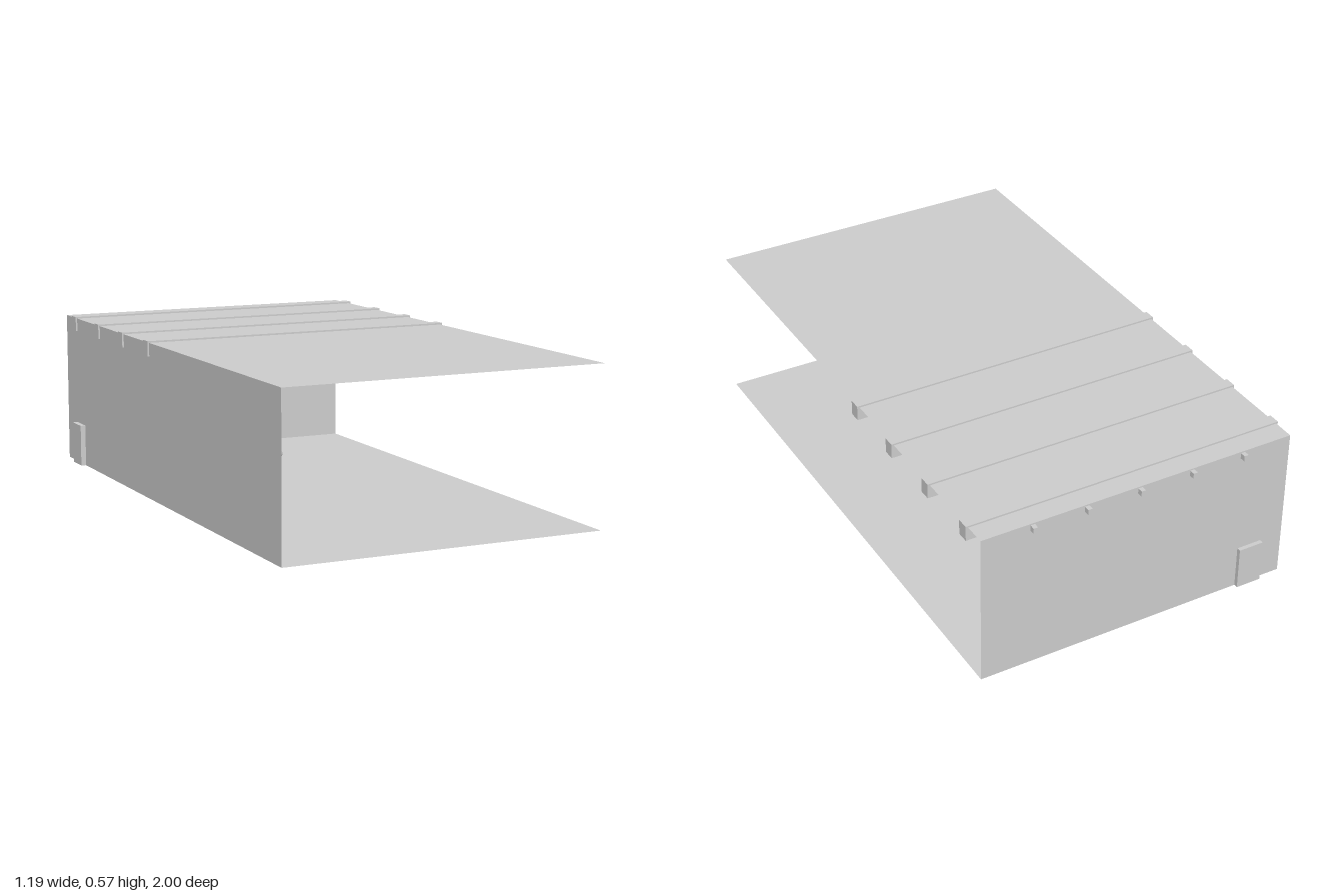
import * as THREE from 'three';

const grey = new THREE.MeshStandardMaterial({ color: 0xcccccc, flatShading: true });
const thin = new THREE.MeshStandardMaterial({ color: 0xcccccc, side: THREE.DoubleSide });
const smooth = new THREE.MeshStandardMaterial({ color: 0xcccccc });

export function createModel() {
  const group = new THREE.Group();
  const add = (name, geometry, material, x, y, z) => {
    const mesh = new THREE.Mesh(geometry, material);
    mesh.name = name;
    mesh.position.set(x, y, z);
    group.add(mesh);
    return mesh;
  };
  // Box given by its limits on each axis
  const box = (name, [x0, x1], [y0, y1], [z0, z1]) =>
    add(name, new THREE.BoxGeometry(x1 - x0, y1 - y0, z1 - z0), grey,
      (x0 + x1) / 2, (y0 + y1) / 2, (z0 + z1) / 2);

  // Hall shell: thin sheets, open at the front and on the +x side
  const X0 = -0.58, X1 = 0.585, H = 0.56, Z0 = -0.98, Z1 = 1;
  const W = X1 - X0, D = Z1 - Z0, cx = (X0 + X1) / 2, cz = (Z0 + Z1) / 2;
  const sheet = (w, h) => new THREE.PlaneGeometry(w, h);
  add('floor', sheet(W, D).rotateX(-Math.PI / 2), thin, cx, 0, cz);
  add('roof', sheet(W, D).rotateX(-Math.PI / 2), thin, cx, H, cz);
  add('backWall', sheet(W, H), thin, cx, H / 2, Z0);
  add('sideWall', sheet(D, H).rotateY(Math.PI / 2), thin, X0, H / 2, cz);

  // Cross beams that just break through the roof
  for (let i = 0; i < 4; i++) {
    const z = -0.121 - i * 0.2533;
    box('crossBeam', [-0.586, 0.594], [0.512, 0.566], [z - 0.021, z + 0.021]);
  }
  // Slim rails running lengthwise through the beams
  for (let i = 0; i < 5; i++) {
    const x = -0.392 + i * 0.198;
    box('ceilingRail', [x - 0.008, x + 0.008], [0.535, 0.555], [-1, -0.043]);
  }

  // Doors
  box('backDoor', [-0.495, -0.402], [0, 0.157], [-0.995, Z0 + 0.002]);
  box('sideDoor', [-0.599, X0 + 0.002], [0, 0.155], [-0.877, -0.789]);

  // Backboard, hoop and ball
  add('backboard', sheet(0.237, 0.15), thin, 0.003, 0.345, -0.922);
  add('hoop', new THREE.TorusGeometry(0.033, 0.0015, 6, 32).rotateX(Math.PI / 2), smooth,
    0.003, 0.335, -0.888);
  add('ball', new THREE.SphereGeometry(0.018, 24, 16), smooth, 0.141, 0.02, -0.59);

  return group;
}
